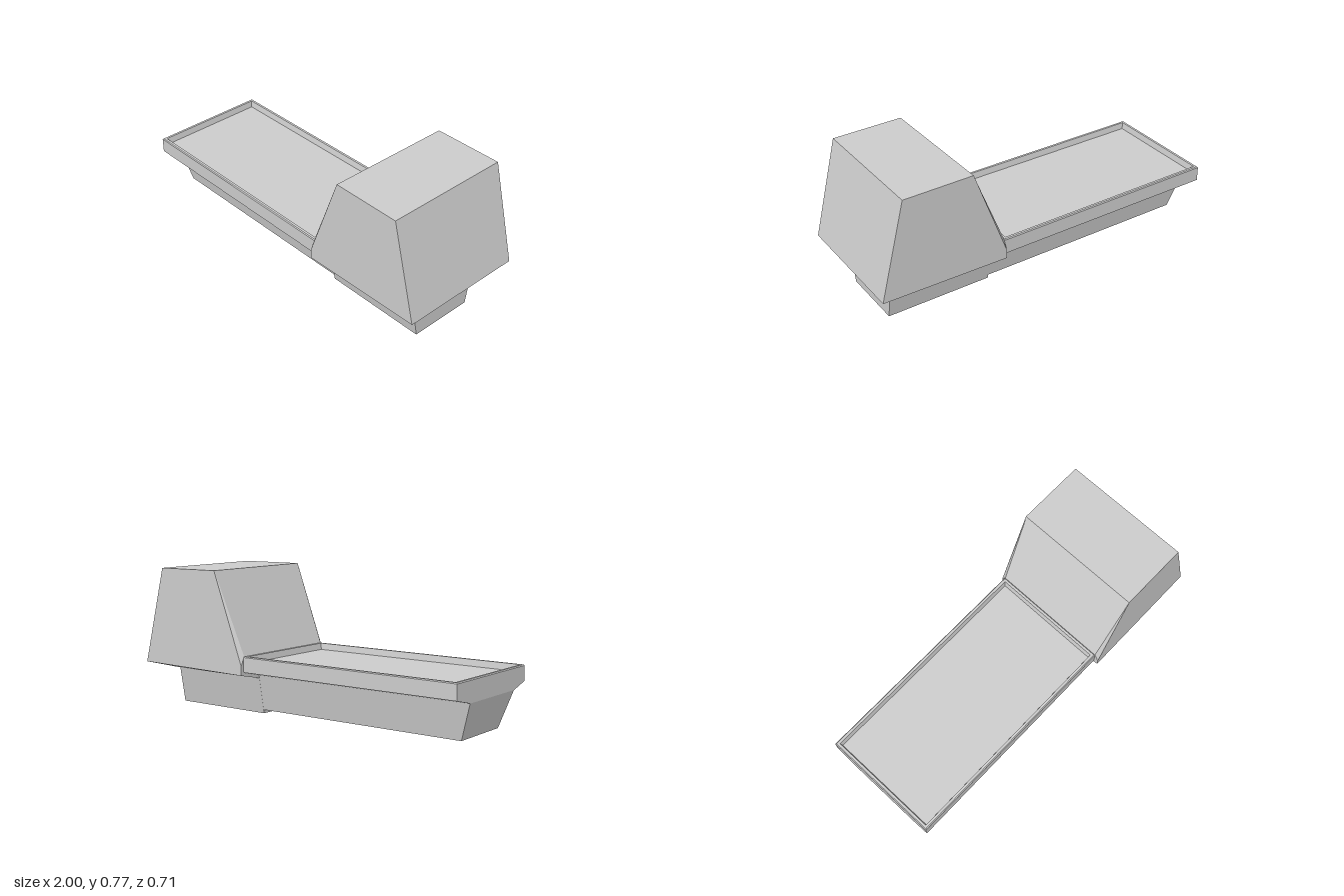
import * as THREE from 'three';

const material = new THREE.MeshStandardMaterial({ color: 0xcccccc, flatShading: true });

// Joins rings of corners (counter-clockwise seen from above) and caps both ends.
function loft(name, rings) {
  const pos = [];
  const tri = (a, b, c) => pos.push(...a, ...b, ...c);
  const n = rings[0].length;
  for (let r = 0; r < rings.length - 1; r++) {
    const lo = rings[r], hi = rings[r + 1];
    for (let i = 0; i < n; i++) {
      const j = (i + 1) % n;
      tri(lo[i], lo[j], hi[j]);
      tri(lo[i], hi[j], hi[i]);
    }
  }
  const first = rings[0], last = rings[rings.length - 1];
  for (let i = 1; i < n - 1; i++) {
    tri(first[0], first[i + 1], first[i]);
    tri(last[0], last[i], last[i + 1]);
  }
  const geometry = new THREE.BufferGeometry();
  geometry.setAttribute('position', new THREE.Float32BufferAttribute(pos, 3));
  geometry.computeVertexNormals();
  const mesh = new THREE.Mesh(geometry, material);
  mesh.name = name;
  return mesh;
}

// Rectangular ring at height y.
const rect = (y, x0, x1, z0, z1) => [[x0, y, z1], [x1, y, z1], [x1, y, z0], [x0, y, z0]];

// Cab ring: the rear edge has an extra inner point beside each corner.
const cabRing = (x0, y0, x1, y1, w, inner, yInner) => [
  [x0, y0, w], [x1, y1, w], [x1, y1, -w], [x0, y0, -w],
  [x0, yInner, -inner], [x0, yInner, inner],
];

export function createModel() {
  const group = new THREE.Group();
  const joint = 0.295;

  // Tapered chassis under the cab and under the bed
  group.add(loft('cabChassis', [
    rect(0, joint, 0.885, -0.172, 0.187),
    rect(0.202, joint, 0.885, -0.209, 0.224),
  ]));
  group.add(loft('bedChassis', [
    rect(0.02, -0.935, joint, -0.175, 0.184),
    rect(0.217, -1, joint, -0.211, 0.222),
  ]));

  // Cab with flared underside, sloped front and folded rear corners
  group.add(loft('cab', [
    cabRing(joint, 0.2, 0.885, 0.2, 0.217, 0.2, 0.2),
    cabRing(joint, 0.23, 1, 0.24, 0.354, 0.33, 0.23),
    cabRing(joint, 0.28, 1, 0.24, 0.354, 0.33, 0.33),
    cabRing(0.48, 0.775, 0.865, 0.772, 0.354, 0.35, 0.775),
  ]));

  // Cargo bed with flared underside, narrow rim and sunken floor
  const bed = (y, d) => rect(y, -1 + d, joint - d, -0.334 + d, 0.33 - d);
  group.add(loft('cargoBed', [
    rect(0.215, -1, joint, -0.211, 0.222),
    bed(0.245, 0),
    bed(0.325, 0),
    bed(0.33, 0.005),
    bed(0.33, 0.018),
    bed(0.295, 0.025),
  ]));

  return group;
}
